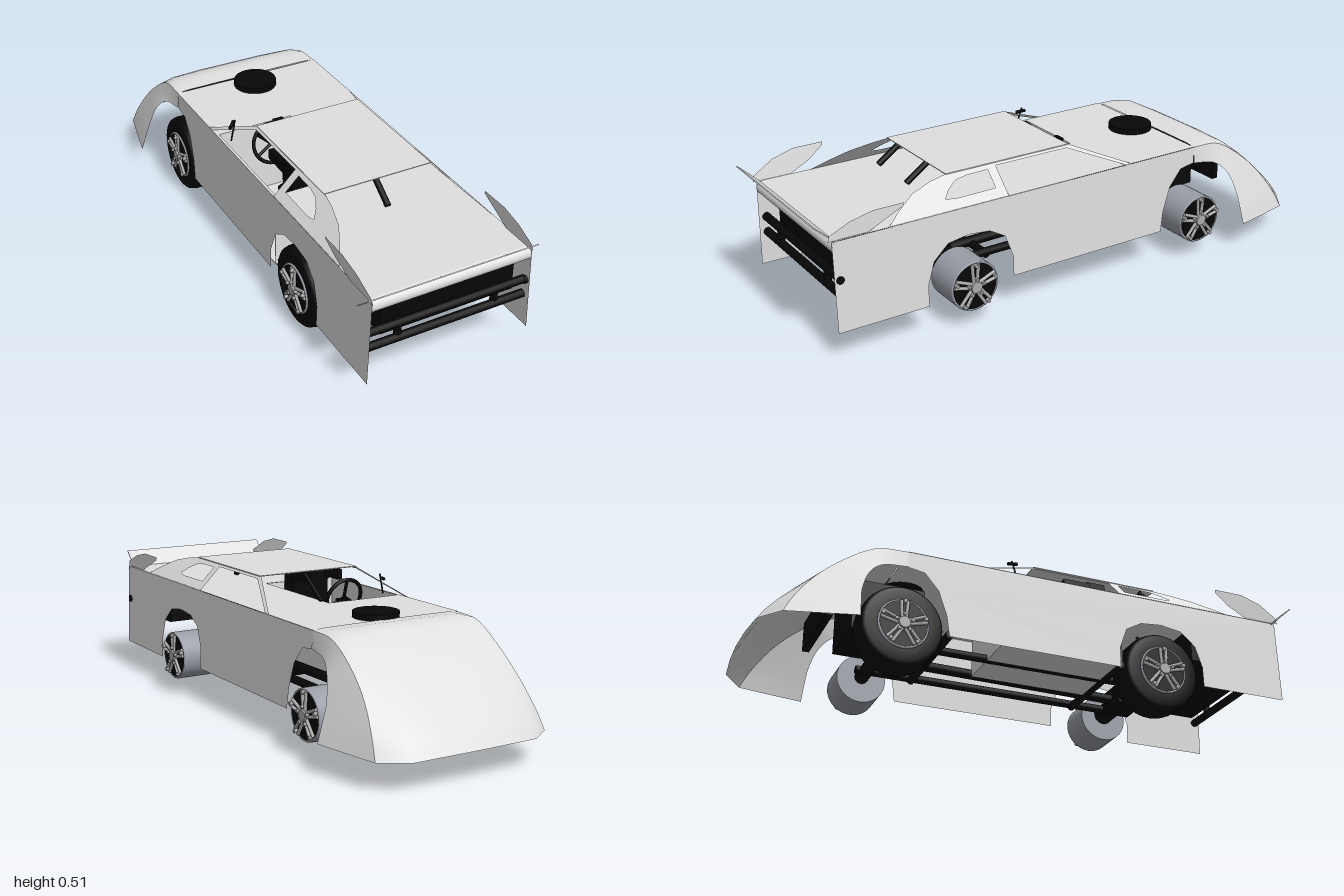
import * as THREE from 'three';

const paint = (name, color, side = THREE.FrontSide) => {
  const m = new THREE.MeshStandardMaterial({ color, side });
  m.name = name;
  return m;
};

export function createModel() {
  const car = new THREE.Group();
  car.name = 'dirtRaceCar';
  const body = paint('bodyGrey', 0xdfdfdf, THREE.DoubleSide);
  const black = paint('black', 0x070707, THREE.DoubleSide);
  const rimGrey = paint('rimGrey', 0x9a9ea7);
  const chrome = paint('spokeGrey', 0xacacac);

  const add = (name, geo, mat, x = 0, y = 0, z = 0, parent = car) => {
    const m = new THREE.Mesh(geo, mat);
    m.name = name;
    m.position.set(x, y, z);
    parent.add(m);
    return m;
  };
  const box = (name, mat, x0, x1, y0, y1, z0, z1) =>
    add(name, new THREE.BoxGeometry(x1 - x0, y1 - y0, z1 - z0), mat, (x0 + x1) / 2, (y0 + y1) / 2, (z0 + z1) / 2);
  // Round tube between two points
  const bar = (name, a, b, r, mat = black, parent = car) => {
    const p = new THREE.Vector3(...a), q = new THREE.Vector3(...b), d = q.clone().sub(p);
    const m = add(name, new THREE.CylinderGeometry(r, r, d.length(), 12), mat, 0, 0, 0, parent);
    m.position.copy(p).add(q).multiplyScalar(0.5);
    m.quaternion.setFromUnitVectors(new THREE.Vector3(0, 1, 0), d.normalize());
    return m;
  };
  const toShape = (pts) => new THREE.Shape(pts.map(([a, b]) => new THREE.Vector2(a, b)));
  // Thin sheet drawn in (z, y), with x given by height
  const sheet = (name, pts, xOf, hole) => {
    const shape = toShape(pts);
    if (hole) shape.holes.push(toShape(hole));
    const geo = new THREE.ShapeGeometry(shape);
    const p = geo.attributes.position;
    for (let i = 0; i < p.count; i++) p.setXYZ(i, xOf(p.getY(i)), p.getY(i), p.getX(i));
    geo.computeVertexNormals();
    return add(name, geo, body);
  };
  // Smooth skin across a row of lengthwise curves
  const loft = (name, lines, n = 18) => {
    const pos = [], idx = [];
    lines.forEach((line, r) => {
      const c = new THREE.CatmullRomCurve3(line.map((p) => new THREE.Vector3(...p)));
      for (let i = 0; i <= n; i++) {
        pos.push(...c.getPoint(i / n).toArray());
        if (r && i) {
          const b = r * (n + 1) + i, a = b - n - 1;
          idx.push(a - 1, a, b - 1, a, b, b - 1);
        }
      }
    });
    const geo = new THREE.BufferGeometry();
    geo.setAttribute('position', new THREE.Float32BufferAttribute(pos, 3));
    geo.setIndex(idx);
    geo.computeVertexNormals();
    add(name, geo, body);
  };
  const mirror = (line) => line.map(([x, y, z]) => [-x, y, z]);

  // Nose: a broad top skin, creased at the shoulder into a flared fender on each side
  const centre = [[0, .105, -1], [0, .15, -.965], [0, .245, -.87], [0, .345, -.75], [0, .427, -.61], [0, .425, -.5]];
  const middle = [[.12, .104, -.996], [.12, .15, -.96], [.12, .245, -.867], [.12, .345, -.75], [.125, .427, -.61], [.125, .425, -.5]];
  const outer = [[.24, .1, -.985], [.238, .15, -.95], [.235, .245, -.858], [.238, .343, -.743], [.25, .424, -.61], [.25, .424, -.5]];
  const shoulder = [[.33, .098, -.92], [.319, .165, -.885], [.301, .26, -.815], [.291, .345, -.722], [.289, .412, -.61], [.291, .42, -.5]];
  const flare = [[.358, .1, -.8], [.344, .165, -.78], [.327, .238, -.742], [.31, .32, -.68], [.298, .375, -.6], [.294, .39, -.5]];
  const archEdge = [[.385, .103, -.68], [.365, .165, -.676], [.347, .22, -.67], [.325, .3, -.64], [.306, .345, -.59], [.296, .36, -.5]];
  loft('noseTop', [mirror(shoulder), mirror(outer), mirror(middle), centre, middle, outer, shoulder]);
  loft('leftFender', [shoulder, flare, archEdge]);
  loft('rightFender', [archEdge, flare, shoulder].map(mirror));

  // Side panels with wheel arches, sail panels, pillars and spoiler fins
  for (const s of [1, -1]) {
    sheet('sidePanel', [[-.5, .42], [-.5, .36], [-.44, .35], [-.39, .29], [-.36, .2], [-.35, .125], [.29, .125], [.29, .2],
      [.32, .28], [.38, .314], [.46, .322], [.54, .31], [.595, .26], [.62, .18], [.62, .105], [.95, .105], [.95, .42]],
    (y) => s * (.301 - (y - .12) * .033));
    sheet('sailPanel', [[.3, .42], [.75, .42], [.7, .45], [.63, .484], [.55, .503], [.49, .511], [.3, .511]],
      (y) => s * (.291 - (y - .42)),
      [[.335, .448], [.335, .497], [.42, .496], [.465, .49], [.5, .472], [.525, .452], [.49, .447]]);
    sheet('windshieldPillar', [[-.215, .42], [-.19, .42], [.01, .502], [.3, .502], [.3, .512], [0, .512]],
      (y) => s * (.291 - (y - .42)));
    const h = s > 0 ? .07 : .086;
    sheet('spoilerFin', [[.96, .42], [.955, .44], [.88, .42 + h * .75], [.8, .42 + h], [.69, .42 + h], [.69, .41 + h],
      [.745, .455], [.82, .42]], (y) => (s > 0 ? .285 : -.295 - (y - .42) * .17));
  }

  // Flat hood, cockpit surround and rear deck with the driver's opening
  const deck = toShape([[-.292, .5], [.292, .5], [.292, -.925], [-.292, -.925]]);
  deck.holes.push(toShape([[-.282, .15], [.01, .15], [.01, -.3], [-.282, -.3]]));
  add('deck', new THREE.ShapeGeometry(deck), body, 0, .421, 0).rotation.x = -Math.PI / 2;
  add('rearLip', new THREE.CylinderGeometry(.025, .025, .584, 16, 1, true, -Math.PI / 2, Math.PI), body, 0, .396, .925)
    .rotation.z = Math.PI / 2;
  box('roof', body, -.203, .203, .51, .513, 0, .49);

  // Sheet-metal cockpit tub around the driver
  box('cockpitFloor', body, -.288, .01, .14, .143, -.15, .3);
  box('cockpitSideWall', body, .007, .01, .14, .42, -.15, .3);
  box('cockpitRearWall', body, -.288, .01, .14, .42, .3, .303);
  box('firewall', body, -.288, .01, .14, .42, -.153, -.15);

  // Rear spoiler blade
  add('spoiler', new THREE.BoxGeometry(.61, .004, .084), body, -.03, .445, .967).rotation.x = -.74;

  // Air cleaner
  add('airCleaner', new THREE.CylinderGeometry(.08, .08, .022, 32), black, 0, .431, -.43);

  // Braces behind the windshield and in the rear opening
  bar('windshieldBrace', [.015, .502, .005], [.015, .42, -.11], .008);
  for (const x of [-.19, .013]) bar('rearBrace', [x, .498, .43], [x, .425, .535], .011);

  // Seat, steering wheel and driver's side fittings
  box('seatBase', black, -.21, -.06, .17, .2, .08, .28);
  box('seatBack', black, -.21, -.06, .17, .49, .21, .28);
  for (const x of [-.205, -.065]) box('seatBolster', black, x - .01, x + .01, .445, .482, .115, .22);
  const wheel = new THREE.Group();
  wheel.name = 'steeringWheel';
  wheel.position.set(-.13, .407, -.03);
  wheel.rotation.x = -.3;
  car.add(wheel);
  add('wheelRim', new THREE.TorusGeometry(.072, .007, 8, 28), black, 0, 0, 0, wheel);
  for (let i = 0; i < 3; i++) {
    const a = i * Math.PI * 2 / 3 + Math.PI / 2;
    bar('wheelSpoke', [0, 0, 0], [Math.cos(a) * .07, Math.sin(a) * .07, 0], .006, black, wheel);
  }
  bar('steeringColumn', [-.13, .407, -.03], [-.13, .38, -.15], .009);
  bar('mirrorStem', [-.262, .42, -.09], [-.24, .495, -.1], .003);
  bar('mirror', [-.265, .472, -.09], [-.24, .482, -.115], .006);
  box('dashSwitch', black, -.07, -.03, .42, .43, -.145, -.13);
  bar('doorFitting', [-.25, .42, .27], [-.235, .44, .285], .012);

  // Chassis rails, drive shaft, cross bars and axles
  for (const x of [-.13, .13]) bar('frameRail', [x, .15, -.55], [x, .15, .5], .015);
  bar('driveShaft', [.03, .16, -.4], [.03, .15, .46], .018);
  for (const z of [-.34, .3]) bar('crossBar', [-.28, .145, z], [.14, .145, z], .015);
  bar('rearAxle', [-.2, .155, .46], [.22, .155, .46], .036);
  box('differential', black, -.043, .088, .115, .19, .41, .51);
  bar('frontAxle', [-.2, .15, -.51], [.22, .15, -.51], .025);
  box('engine', black, -.12, .12, .19, .375, -.64, -.38);
  box('radiator', black, -.16, .16, .2, .31, -.74, -.715);

  // Fuel cell and rear bumper tubes
  box('fuelCell', black, -.23, .265, .24, .372, .62, .9);
  for (const y of [.23, .287]) bar('bumperBar', [-.288, y, .925], [.29, y, .925], .015);
  bar('bumperEnd', [.285, .287, .93], [.299, .287, .93], .014);
  for (const x of [-.18, .18]) bar('bumperUpright', [x, .22, .92], [x, .3, .92], .013);

  // Wheels: rims all round, tyres on the right-hand side only
  const makeWheel = (s, z) => {
    const g = new THREE.Group();
    g.name = s > 0 ? 'leftWheel' : 'rightWheel';
    g.position.set(s > 0 ? .258 : -.23, .145, z);
    g.rotation.y = s > 0 ? 0 : Math.PI;
    car.add(g);
    add('rimBarrel', new THREE.CylinderGeometry(.09, .09, .132, 36), rimGrey, 0, 0, 0, g).rotation.z = Math.PI / 2;
    add('rimFace', new THREE.CylinderGeometry(.083, .083, .004, 36), black, .067, 0, 0, g).rotation.z = Math.PI / 2;
    add('rimEdge', new THREE.TorusGeometry(.086, .004, 8, 36), rimGrey, .066, 0, 0, g).rotation.y = Math.PI / 2;
    add('hub', new THREE.CylinderGeometry(.02, .024, .016, 20), chrome, .075, 0, 0, g).rotation.z = -Math.PI / 2;
    for (let i = 0; i < 5; i++) {
      const spoke = new THREE.Group();
      spoke.name = 'spoke';
      spoke.rotation.x = i * Math.PI * 2 / 5;
      g.add(spoke);
      for (const k of [-1, 1]) bar('spokeArm', [.072, .015, k * .007], [.072, .082, k * .012], .006, chrome, spoke);
      add('lug', new THREE.CylinderGeometry(.006, .006, .012, 8), chrome, .08, .03, 0, spoke).rotation.z = Math.PI / 2;
      add('rimBolt', new THREE.CylinderGeometry(.007, .007, .014, 8), chrome, .077, .078, 0, spoke).rotation.z = Math.PI / 2;
    }
    if (s < 0) {
      const profile = [[.088, -.064], [.13, -.064], [.14, -.055], [.145, -.035], [.145, .035], [.14, .055], [.13, .064], [.088, .064]];
      add('tyre', new THREE.LatheGeometry(profile.map((p) => new THREE.Vector2(...p)), 40), black, 0, 0, 0, g).rotation.z = Math.PI / 2;
    }
  };
  for (const s of [1, -1]) for (const z of [.46, -.51]) makeWheel(s, z);

  return car;
}
